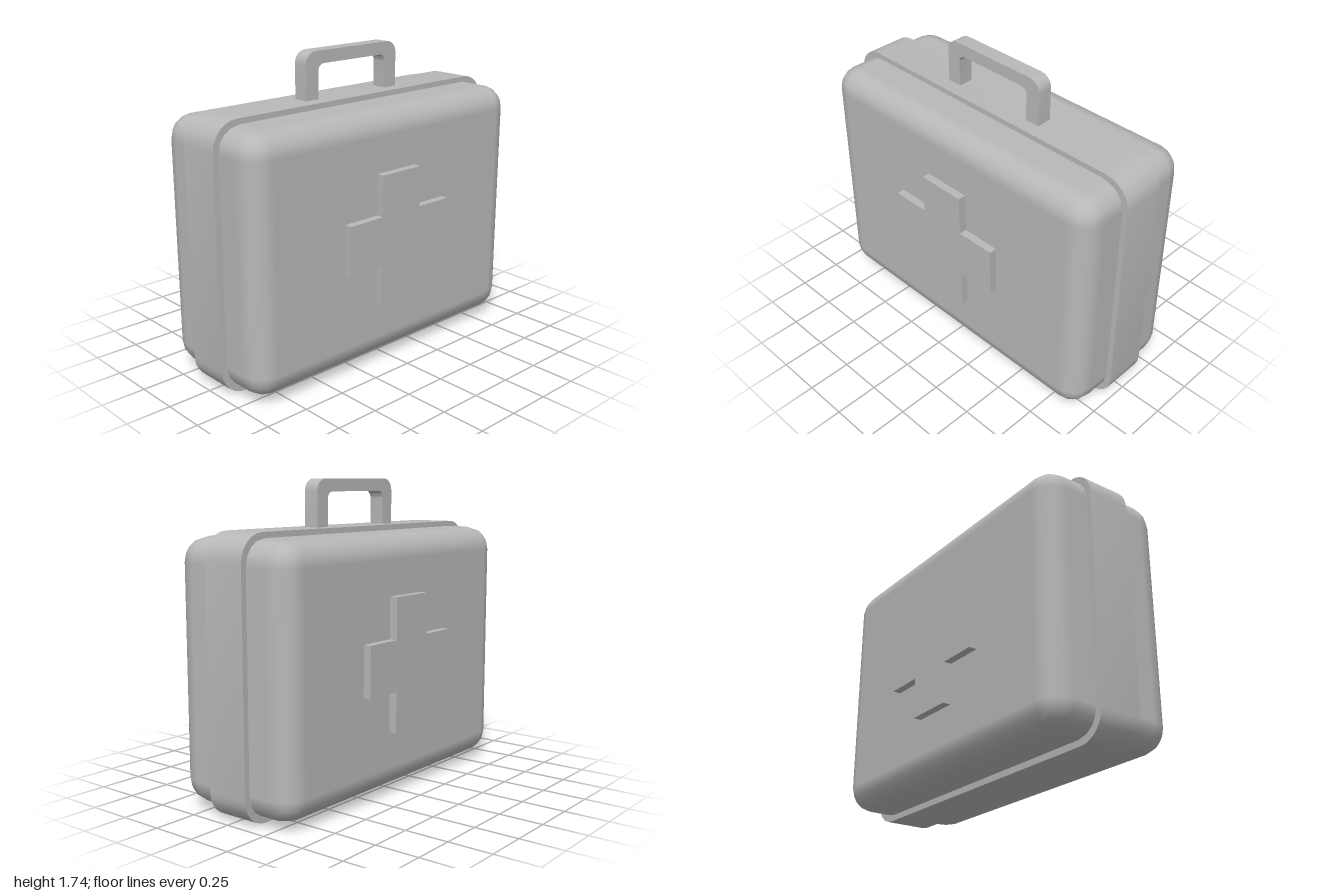
import * as THREE from 'three';
import { toCreasedNormals } from 'three/addons/utils/BufferGeometryUtils.js';
import { RoundedBoxGeometry } from 'three/addons/geometries/RoundedBoxGeometry.js';

// Extrude a (z, y) outline along x, centred on cx, with rounded corners kept smooth
function extrudeAcross(shape, width, cx) {
  const geo = new THREE.ExtrudeGeometry(shape, { depth: width, bevelEnabled: false, curveSegments: 3 });
  geo.translate(0, 0, -width / 2);
  geo.rotateY(-Math.PI / 2);
  geo.translate(cx, 0, 0);
  return toCreasedNormals(geo, 0.7);
}

function roundedRect(halfWidth, bottom, top, r) {
  const s = new THREE.Shape();
  s.absarc(halfWidth - r, bottom + r, r, -Math.PI / 2, 0);
  s.absarc(halfWidth - r, top - r, r, 0, Math.PI / 2);
  s.absarc(-halfWidth + r, top - r, r, Math.PI / 2, Math.PI);
  s.absarc(-halfWidth + r, bottom + r, r, Math.PI, Math.PI * 1.5);
  s.closePath();
  return s;
}

// Upside-down U with rounded outer and inner corners
function handleShape(outer, inner, bottom, top, underside, ro, ri) {
  const s = new THREE.Shape();
  s.moveTo(inner, bottom);
  s.lineTo(outer, bottom);
  s.absarc(outer - ro, top - ro, ro, 0, Math.PI / 2);
  s.absarc(-outer + ro, top - ro, ro, Math.PI / 2, Math.PI);
  s.lineTo(-outer, bottom);
  s.lineTo(-inner, bottom);
  s.absarc(-inner + ri, underside - ri, ri, Math.PI, Math.PI / 2, true);
  s.absarc(inner - ri, underside - ri, ri, Math.PI / 2, 0, true);
  s.closePath();
  return s;
}

function crossShape(cy, reach, half) {
  const quarter = [[half, half], [half, reach], [-half, reach]];
  const pts = [];
  for (let i = 0; i < 4; i++) {
    const c = Math.round(Math.cos(i * Math.PI / 2));
    const n = Math.round(Math.sin(i * Math.PI / 2));
    for (const [x, y] of quarter) pts.push(new THREE.Vector2(x * c - y * n, cy + x * n + y * c));
  }
  return new THREE.Shape(pts);
}

export function createModel() {
  const group = new THREE.Group();
  const grey = new THREE.MeshStandardMaterial({ color: 0xb8b8b8 });
  grey.name = 'grey';

  const add = (name, geo) => {
    const mesh = new THREE.Mesh(geo, grey);
    mesh.name = name;
    group.add(mesh);
  };

  // Softly rounded case
  const body = new RoundedBoxGeometry(0.776, 1.415, 1.935, 2, 0.135);
  body.translate(0, 0.742, 0);
  add('caseBody', body);

  // Raised rim around the middle
  add('centreBand', extrudeAcross(roundedRect(1, 0, 1.48, 0.15), 0.25, -0.002));

  // Carrying handle
  add('handle', extrudeAcross(handleShape(0.335, 0.248, 1.46, 1.74, 1.67, 0.068, 0.04), 0.088, -0.002));

  // Raised cross on each broad side
  for (const side of [1, -1]) {
    add(side > 0 ? 'leftCross' : 'rightCross',
      extrudeAcross(crossShape(0.743, 0.373, 0.142), 0.06, side * 0.403));
  }
  return group;
}
